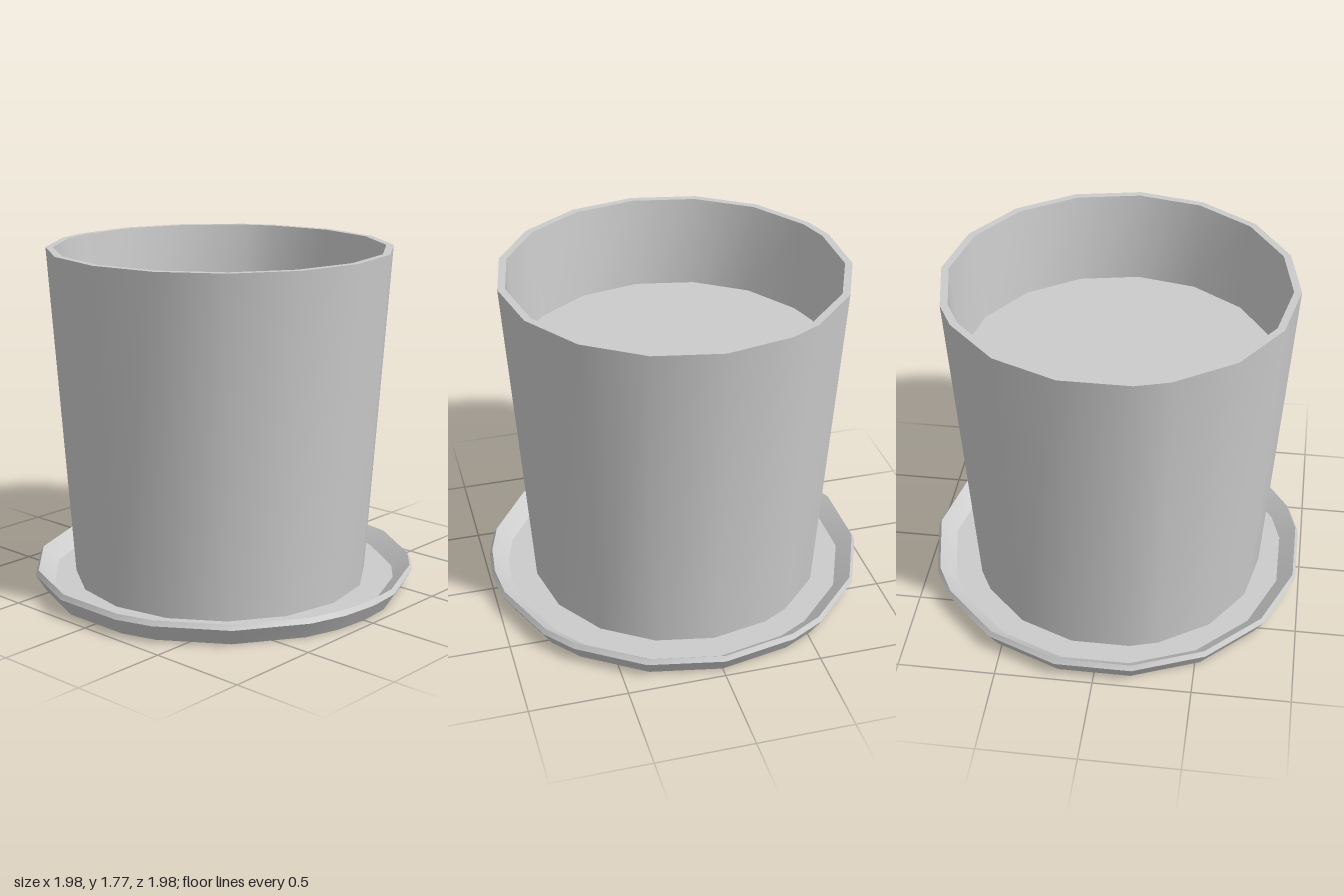
import * as THREE from 'three';
import { toCreasedNormals } from 'three/addons/utils/BufferGeometryUtils.js';

const material = new THREE.MeshStandardMaterial({ color: 0xcccccc });
const STEP = Math.PI / 16;

// Uneven corner positions, in 32nds of a turn starting from the back
const POT_CORNERS = [0, 2, 4, 6, 8, 10, 12, 14, 16, 18, 20, 22, 23, 25, 27, 29, 30];
const SAUCER_CORNERS = [0, 2, 4, 5, 7, 8, 9, 10, 12, 14, 15, 17, 19, 21, 23, 25, 27, 29, 30];

// Sweeps a profile of [radius, y] points around the given corners
function turned(name, corners, profile) {
  const n = corners.length;
  const positions = [];
  const point = (i, j) => {
    const [r, y] = profile[i];
    const a = corners[j % n] * STEP;
    return [r * Math.sin(a), y, -r * Math.cos(a)];
  };
  for (let i = 0; i < profile.length - 1; i++) {
    for (let j = 0; j < n; j++) {
      const a = point(i, j), b = point(i, j + 1);
      const c = point(i + 1, j), d = point(i + 1, j + 1);
      // Skip the triangle that collapses at a centre point
      if (profile[i][0] > 0) positions.push(...a, ...c, ...b);
      if (profile[i + 1][0] > 0) positions.push(...b, ...c, ...d);
    }
  }
  const geometry = new THREE.BufferGeometry();
  geometry.setAttribute('position', new THREE.Float32BufferAttribute(positions, 3));
  const mesh = new THREE.Mesh(toCreasedNormals(geometry, 0.6), material);
  mesh.name = name;
  return mesh;
}

export function createModel() {
  const model = new THREE.Group();
  model.name = 'plantPot';

  // Shallow dish: underside, flared wall, narrow bevel, inner slope, floor
  const saucer = turned('saucer', SAUCER_CORNERS, [
    [0, 0], [0.945, 0], [1, 0.09], [0.985, 0.115], [0.9, 0.045], [0, 0.045],
  ]);

  // Tapered pot: outer wall, flat rim, inner wall
  const pot = turned('pot', POT_CORNERS, [
    [0.767, 0.045], [0.883, 1.77], [0.845, 1.77], [0.809, 1.29],
  ]);

  // Flat fill inside the pot
  const soil = turned('soil', POT_CORNERS, [[0.809, 1.29], [0, 1.29]]);

  // The pot stands slightly off the middle of the saucer
  for (const part of [pot, soil]) part.position.set(-0.01, 0, 0.01);

  model.add(saucer, pot, soil);
  return model;
}
